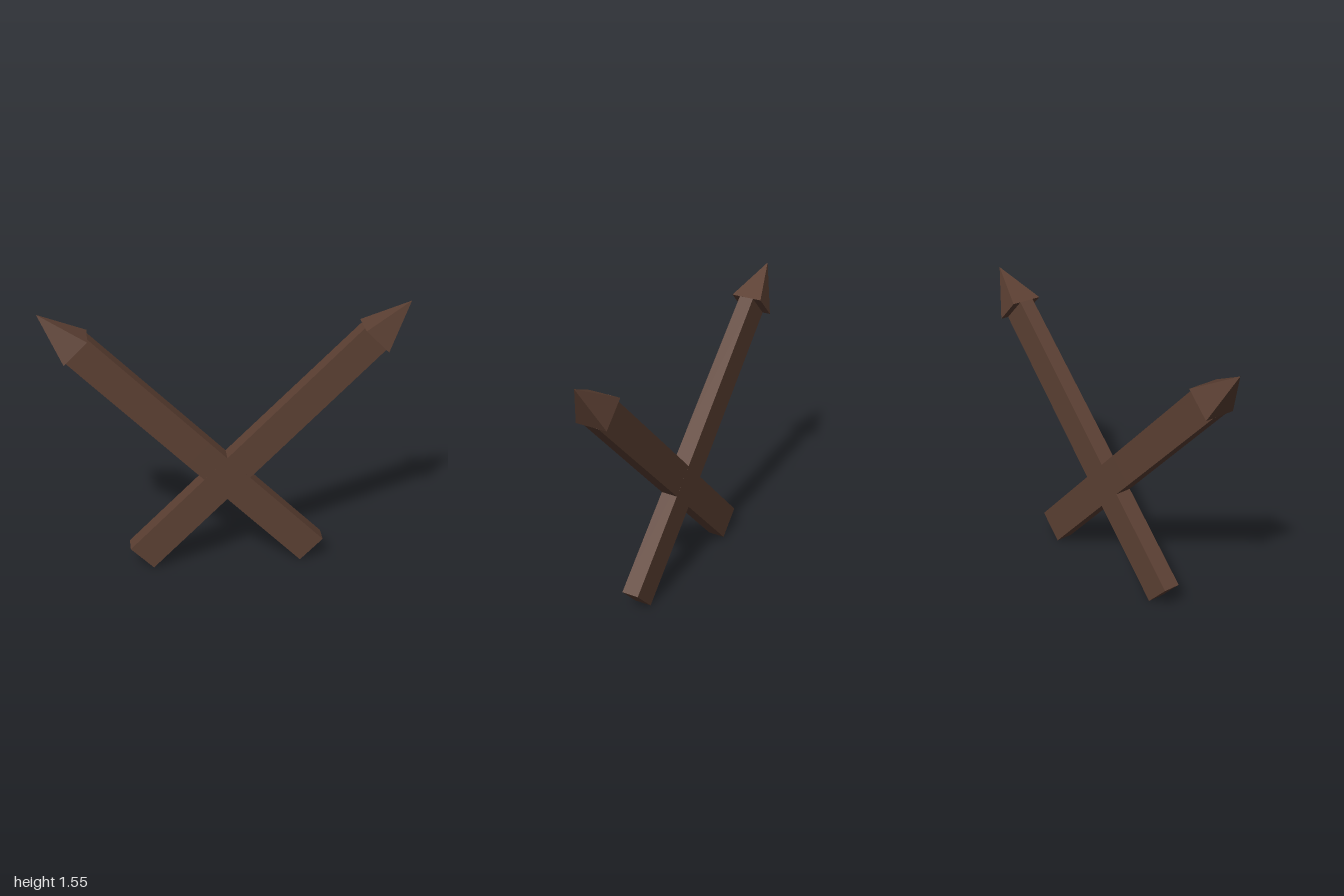
import * as THREE from 'three';

const LENGTH = 1.828, WIDTH = 0.186, DEPTH = 0.1, TIP = 0.275;

// Slightly rough-hewn beam standing on its base, thinning toward the top
function beamGeometry() {
  const g = new THREE.BoxGeometry(WIDTH, LENGTH, DEPTH, 1, 2, 1);
  g.translate(0, LENGTH / 2, 0);
  const p = g.attributes.position;
  for (let i = 0; i < p.count; i++) {
    const t = p.getY(i) / LENGTH;
    const inset = p.getZ(i) > 0 ? 0.985 : 1;
    p.setX(i, p.getX(i) * inset * (1 - 0.02 * t));
    p.setZ(i, p.getZ(i) * (1 - 0.15 * t * t));
  }
  g.computeVertexNormals();
  return g;
}

// Square pyramid, wider than the beam is deep
function tipGeometry() {
  const g = new THREE.CylinderGeometry(0, 0.0905 * Math.SQRT2, TIP, 4, 1);
  g.rotateY(Math.PI / 4);
  g.translate(0, LENGTH + TIP / 2, 0);
  return g;
}

export function createModel() {
  const model = new THREE.Group();
  model.name = 'crossedStakes';
  const wood = new THREE.MeshStandardMaterial({ color: 0x5c4033 });
  wood.name = 'darkWood';
  wood.flatShading = true;

  const beamGeo = beamGeometry();
  const tipGeo = tipGeometry();

  // Two stakes leaning opposite ways through the same centre
  for (const side of [-1, 1]) {
    const stake = new THREE.Group();
    stake.name = side > 0 ? 'leftLeaningStake' : 'rightLeaningStake';
    const beam = new THREE.Mesh(beamGeo, wood);
    beam.name = 'beam';
    const tip = new THREE.Mesh(tipGeo, wood);
    tip.name = 'pointedTip';
    stake.add(beam, tip);
    stake.position.set(-side * 0.487, 0.066, 0);
    stake.rotation.z = -side * Math.PI / 4;
    model.add(stake);
  }
  return model;
}
